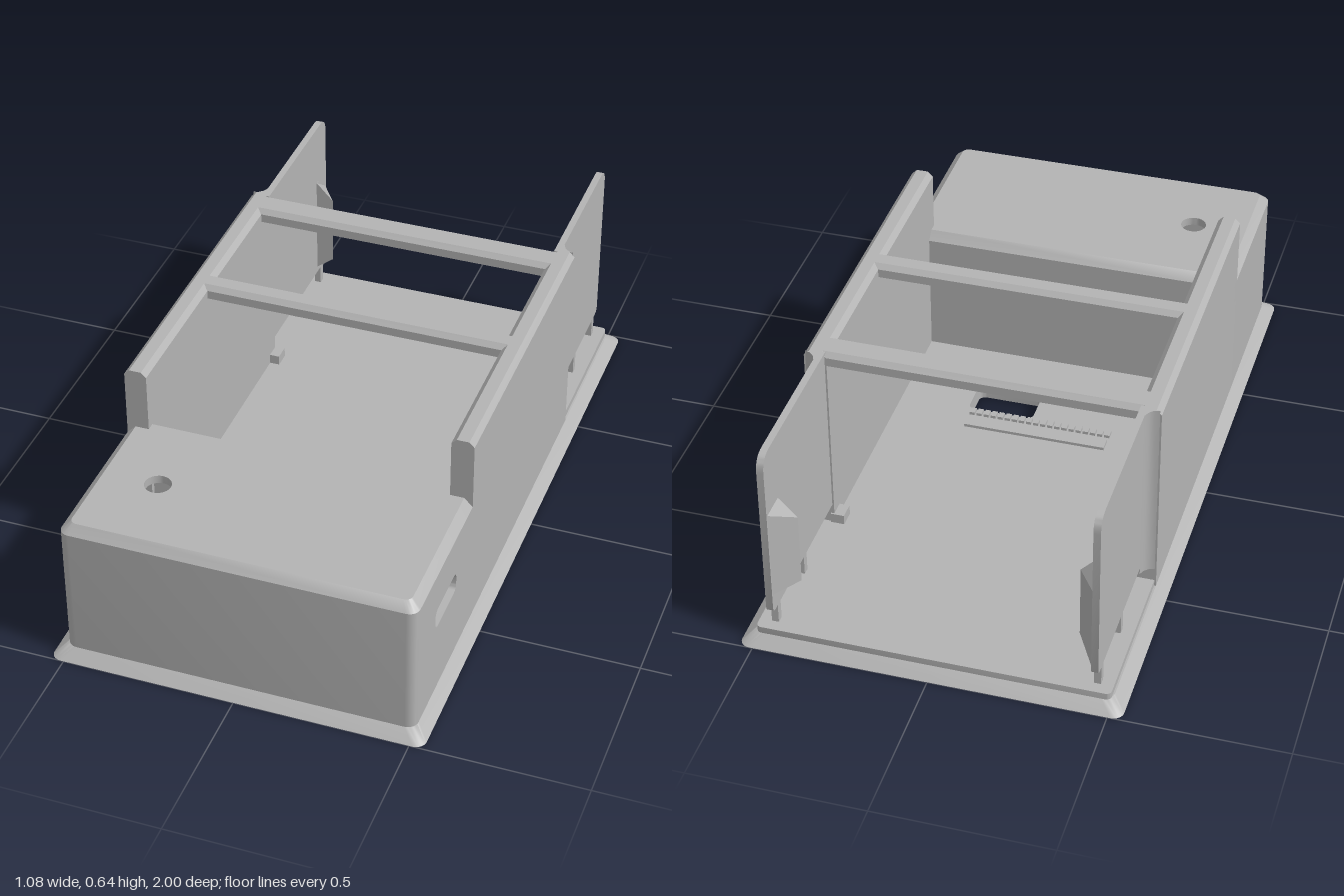
import * as THREE from 'three';
import { toCreasedNormals } from 'three/addons/utils/BufferGeometryUtils.js';

const grey = new THREE.MeshStandardMaterial({ color: 0xb3b3b3, side: THREE.DoubleSide });
grey.name = 'plain grey';

// Rounded rectangle in plan, as [x, z] points running from +x towards +z
function roundRect(x0, x1, z0, z1, r, n = 6) {
  const pts = [];
  const corners = [[x1 - r, z1 - r], [x0 + r, z1 - r], [x0 + r, z0 + r], [x1 - r, z0 + r]];
  corners.forEach(([cx, cz], k) => {
    for (let i = 0; i <= n; i++) {
      const a = (k + i / n) * Math.PI / 2;
      pts.push([cx + r * Math.cos(a), cz + r * Math.sin(a)]);
    }
  });
  return pts;
}

function circle(x, z, r, n = 24) {
  return Array.from({ length: n }, (_, i) => {
    const a = i / n * Math.PI * 2;
    return [x + r * Math.cos(a), z + r * Math.sin(a)];
  });
}

// Solid between plan outline `low` at y0 and `high` at y1, pierced by vertical holes
function slab(low, y0, high, y1, holes = []) {
  const pos = [];
  const skin = (a, b, flip) => a.forEach((p, i) => {
    const j = (i + 1) % a.length;
    const A = [p[0], y0, p[1]], B = [a[j][0], y0, a[j][1]];
    const C = [b[j][0], y1, b[j][1]], D = [b[i][0], y1, b[i][1]];
    if (flip) pos.push(...A, ...B, ...C, ...A, ...C, ...D);
    else pos.push(...A, ...C, ...B, ...A, ...D, ...C);
  });
  const cap = (outline, y, up) => {
    const v = (l) => l.map(([x, z]) => new THREE.Vector2(x, z));
    const all = [outline, ...holes].flat();
    for (const [a, b, c] of THREE.ShapeUtils.triangulateShape(v(outline), holes.map(v))) {
      const [p, q, r] = [all[a], all[b], all[c]];
      const area = (q[0] - p[0]) * (r[1] - p[1]) - (q[1] - p[1]) * (r[0] - p[0]);
      const order = (area < 0) === up ? [p, q, r] : [p, r, q];
      order.forEach(([x, z]) => pos.push(x, y, z));
    }
  };
  skin(low, high, false);
  holes.forEach((h) => skin(h, h, true));
  cap(low, y0, false);
  cap(high, y1, true);
  const g = new THREE.BufferGeometry();
  g.setAttribute('position', new THREE.Float32BufferAttribute(pos, 3));
  return g;
}

// Upright plate drawn in (z, y), its outer face at x = outer, going towards -x
function sidePlate(shape, outer, depth) {
  return new THREE.ExtrudeGeometry(shape, { depth, bevelEnabled: false, curveSegments: 8 })
    .rotateY(-Math.PI / 2).translate(outer, 0, 0);
}

const shapeOf = (pts) => new THREE.Shape(pts.map(([x, y]) => new THREE.Vector2(x, y)));

// Bar with chamfered top edges, running along z
function chamferBar(w, y0, y1, length, c) {
  const h = w / 2;
  return new THREE.ExtrudeGeometry(
    shapeOf([[-h, y0], [h, y0], [h, y1 - c], [h - c, y1], [c - h, y1], [-h, y1 - c]]),
    { depth: length, bevelEnabled: false }).translate(0, 0, -length / 2);
}

export function createModel() {
  const model = new THREE.Group();
  const add = (name, geometry) => {
    const mesh = new THREE.Mesh(toCreasedNormals(geometry, 0.6), grey);
    mesh.name = name;
    model.add(mesh);
    return mesh;
  };
  const box = (name, w, h, d, x, y, z) =>
    add(name, new THREE.BoxGeometry(w, h, d).translate(x, y, z));

  // Sloping base flange and floor, with a port and an open battery bay below
  const port = roundRect(0.03, 0.23, 0.14, 0.27, 0.02);
  const bay = roundRect(-0.47, 0.47, 0.475, 0.93, 0.01, 2);
  add('baseFlange', slab(roundRect(-0.54, 0.54, -1, 1, 0.03), 0,
    roundRect(-0.505, 0.505, -0.965, 0.965, 0.03), 0.03, [port, bay]));
  add('floor', slab(roundRect(-0.5, 0.5, -0.965, 0.46, 0.015), 0.03,
    roundRect(-0.5, 0.5, -0.965, 0.46, 0.015), 0.05, [port]));

  // Front housing: walls with a gap on one side, filled by the slotted plate
  const outline = roundRect(-0.505, 0.505, 0.44, 0.965, 0.03);
  const front = outline.slice(0, 14); // the two rounded front corners
  const walls = [[0.505, 0.82], ...front, [-0.505, 0.44], [0.505, 0.44], [0.505, 0.6],
    [0.47, 0.6], [0.47, 0.475], [-0.47, 0.475], [-0.47, 0.93], [0.47, 0.93], [0.47, 0.82]];
  add('housingWalls', slab(walls, 0.03, walls, 0.425));
  const slotted = shapeOf([[0.6, 0.03], [0.82, 0.03], [0.82, 0.425], [0.6, 0.425]]);
  slotted.holes.push(shapeOf(roundRect(0.625, 0.805, 0.245, 0.305, 0.02)));
  add('slottedSide', sidePlate(slotted, 0.505, 0.035));
  add('housingLid', slab(outline, 0.425,
    roundRect(-0.48, 0.48, 0.465, 0.94, 0.02), 0.45, [circle(-0.32, 0.71, 0.038)]));

  // Screw tabs and posts inside the bay
  for (const s of [-1, 1]) {
    const inner = s > 0 ? 0.27 : 0.39;
    const tab = s > 0 ? roundRect(inner, 0.48, 0.6, 0.86, 0.02)
      : roundRect(-0.48, -inner, 0.64, 0.78, 0.03);
    const hole = circle(s * 0.43, 0.71, 0.022, 16);
    add('screwTab', slab(tab, 0.015, tab, 0.035, [hole]));
    const post = circle(s * 0.43, 0.71, 0.04);
    add('screwPost', slab(post, 0.035, post, 0.425, [hole]));
  }
  box('hatchCatch', 0.1, 0.02, 0.06, -0.36, 0.025, 0.49);

  // Mirrored sides
  for (const s of [-1, 1]) {
    const wall = add('sideWall', chamferBar(0.065, 0.03, 0.64, 0.97, 0.015));
    wall.position.set(s * 0.4725, 0, 0.005);

    // Thin rear panel with rounded rear corners
    const p = new THREE.Shape();
    p.moveTo(-0.47, 0.11);
    p.lineTo(-0.47, 0.64);
    p.lineTo(-0.915, 0.64);
    p.quadraticCurveTo(-0.965, 0.64, -0.965, 0.59);
    p.lineTo(-0.965, 0.13);
    p.quadraticCurveTo(-0.965, 0.11, -0.945, 0.11);
    add('rearPanel', sidePlate(p, s > 0 ? 0.465 : -0.445, 0.02));

    // Concave blend from side wall to panel
    const blend = [[0.5, -0.48], [0.485, -0.484], [0.473, -0.495], [0.465, -0.512], [0.46, -0.48]]
      .map(([x, z]) => [s * x, z]);
    if (s > 0) blend.reverse();
    add('panelBlend', slab(blend, 0.09, blend, 0.64));

    // Three-sided wedge on the inside of the panel, with sloped ends
    const plan = (w) => {
      const t = [[s * 0.446, -0.96], [s * (0.446 - w), -0.88], [s * 0.446, -0.88]];
      return s > 0 ? t.reverse() : t;
    };
    add('wedge', slab(plan(0.055), 0.17, plan(0.055), 0.39));
    add('wedgeTop', slab(plan(0.055), 0.39, plan(0.002), 0.445));
    add('wedgeBottom', slab(plan(0.002), 0.13, plan(0.055), 0.17));

    // Pins carrying the panel
    for (const z of [-0.71, -0.92]) box('panelPin', 0.02, 0.07, 0.022, s * 0.455, 0.08, z);
    box('wallFoot', 0.04, 0.03, 0.05, s * 0.43, 0.065, -0.46);
  }

  // Cross bars joining the side walls
  for (const [z, w] of [[-0.435, 0.09], [0.005, 0.07]]) {
    const bar = add('crossBar', chamferBar(w, 0.6, 0.64, 0.92, 0.014));
    bar.rotation.y = Math.PI / 2;
    bar.position.z = z;
  }

  // Connector strip and comb on the floor
  box('connectorStrip', 0.43, 0.01, 0.04, 0, 0.054, 0.07);
  for (let i = 0; i < 20; i++) {
    box('combTooth', 0.016, 0.01, 0.024, -0.209 + i * 0.022, 0.054, 0.123);
  }
  return model;
}
